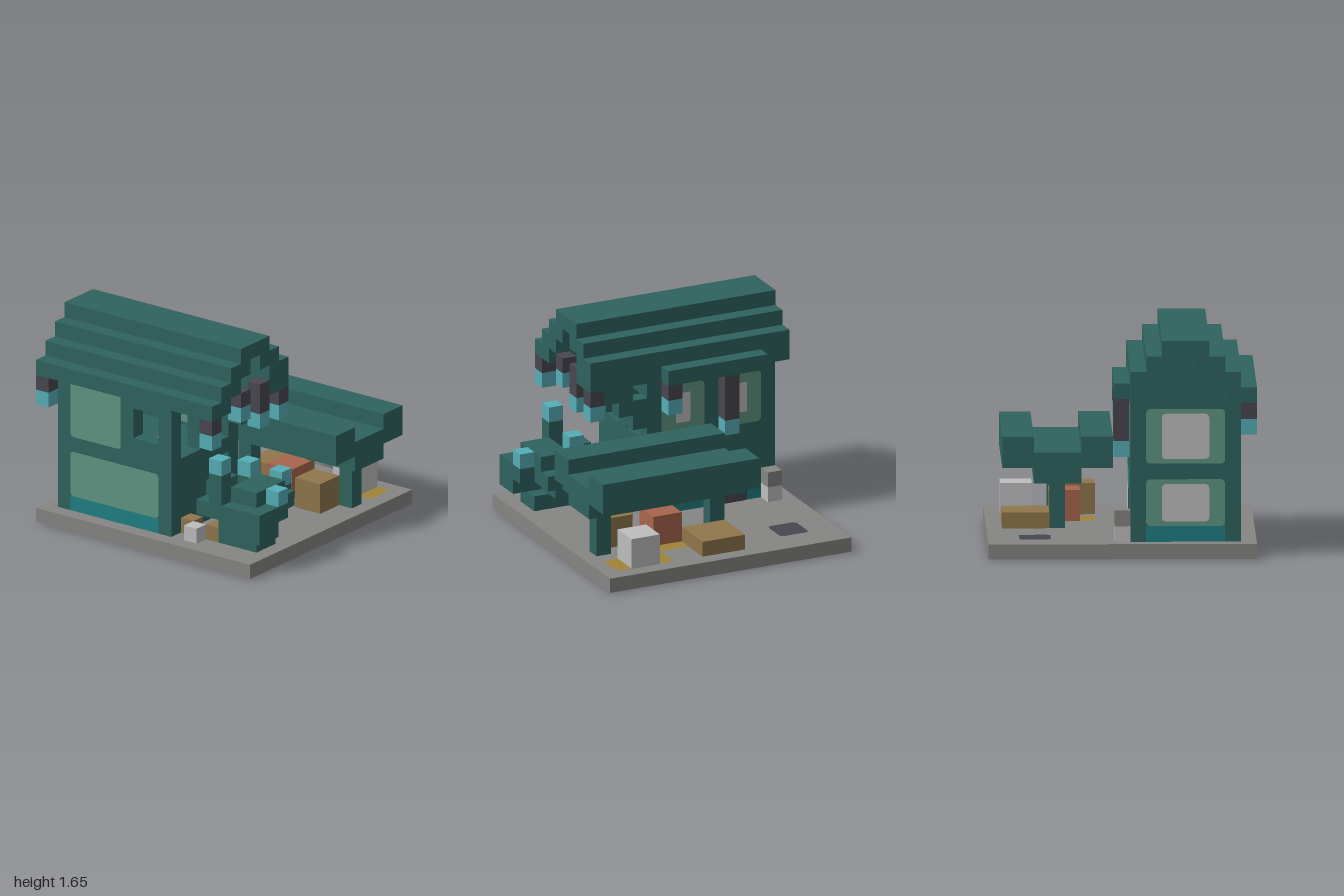
import * as THREE from 'three';

const U = 2 / 17; // one block
const mat = (name, color) => {
  const m = new THREE.MeshStandardMaterial({ color, side: THREE.DoubleSide });
  m.name = name;
  return m;
};

export function createModel() {
  const M = {
    wall: mat('deep green', 0x2e635e), glass: mat('pale green', 0x5f9583),
    teal: mat('teal', 0x1f7f83), cyan: mat('lamp cyan', 0x55aeb6),
    dark: mat('charcoal', 0x48464f), white: mat('pale grey', 0xbdbdbd),
    tan: mat('brown', 0x90764c), red: mat('brick red', 0xa8654d),
    stone: mat('stone', 0x858583), yellow: mat('ochre', 0xa08336),
  };
  const root = new THREE.Group();
  root.name = 'house';
  const section = (name) => {
    const g = new THREE.Group();
    g.name = name;
    root.add(g);
    return g;
  };
  // Box between block coordinates: x0,x1, y0,y1, z0,z1
  const box = (parent, name, m, x0, x1, y0, y1, z0, z1) => {
    const mesh = new THREE.Mesh(new THREE.BoxGeometry((x1 - x0) * U, (y1 - y0) * U, (z1 - z0) * U), M[m]);
    mesh.position.set((x0 + x1) / 2 * U - 1, (y0 + y1) / 2 * U, (z0 + z1) / 2 * U - 1);
    mesh.name = name;
    parent.add(mesh);
  };
  // Thin rounded panel across an axis; a runs along x (or z for axis x), b along y (or z for axis y)
  const plate = (parent, name, m, axis, p, a0, a1, b0, b1, r = 0.3) => {
    const s = new THREE.Shape();
    s.moveTo(a0 + r, b0);
    s.lineTo(a1 - r, b0); s.quadraticCurveTo(a1, b0, a1, b0 + r);
    s.lineTo(a1, b1 - r); s.quadraticCurveTo(a1, b1, a1 - r, b1);
    s.lineTo(a0 + r, b1); s.quadraticCurveTo(a0, b1, a0, b1 - r);
    s.lineTo(a0, b0 + r); s.quadraticCurveTo(a0, b0, a0 + r, b0);
    const g = new THREE.ShapeGeometry(s, 4);
    if (axis === 'x') g.rotateY(-Math.PI / 2);
    if (axis === 'y') g.rotateX(Math.PI / 2);
    g.scale(U, U, U);
    const mesh = new THREE.Mesh(g, M[m]);
    mesh.position.set(-1, 0, -1);
    mesh.position[axis] += p * U;
    mesh.name = name;
    parent.add(mesh);
  };

  // Ground slab, floor patches and underside markings
  const ground = section('ground');
  box(ground, 'slab', 'stone', 0, 17, 0.04, 1, 0, 17);
  for (const p of [1.03, 0]) {
    plate(ground, 'drainPatch', 'dark', 'y', p, 2, 4, 2, 4);
    plate(ground, 'ochrePatch', 'yellow', 'y', p, 12, 16, 1, 3);
    plate(ground, 'ochrePatch', 'yellow', 'y', p, 10, 12, 3, 7);
    plate(ground, 'houseFloor', 'dark', 'y', p, 2, 9, 10, 15);
  }
  plate(ground, 'crateMark', 'tan', 'y', 0, 7, 10, 1, 4);
  for (const [x, z] of [[12, 14], [10, 14], [12, 10]]) plate(ground, 'smallMark', 'tan', 'y', 0, x, x + 1, z, z + 1);
  plate(ground, 'sillMark', 'teal', 'y', 0, 1, 2, 10, 15);
  plate(ground, 'sillMark', 'tan', 'y', 0, 9, 10, 10, 15);
  for (const z of [9, 15]) {
    plate(ground, 'sillMark', 'tan', 'y', 0, 2, 9, z, z + 1);
    for (const x of [1, 9]) plate(ground, 'columnMark', 'wall', 'y', 0, x, x + 1, z, z + 1);
  }

  // Corner columns, storey floor and top ring
  const house = section('walls');
  for (const x of [1, 9]) for (const z of [9, 15]) box(house, 'cornerColumn', 'wall', x, x + 1, 1, 10, z, z + 1);
  box(house, 'storeyFloor', 'wall', 1, 10, 5, 6, 9, 16);
  // Front wall with an open upper window
  box(house, 'frontLowerWall', 'wall', 2, 9, 2, 5, 15, 16);
  box(house, 'frontSill', 'teal', 2, 9, 1, 2, 15, 16);
  box(house, 'frontUpperWall', 'wall', 2, 7, 6, 10, 15, 16);
  box(house, 'frontUpperSill', 'wall', 7, 9, 6, 7, 15, 16);
  box(house, 'frontLintel', 'wall', 7, 9, 9, 10, 15, 16);
  plate(house, 'frontLowerGlass', 'glass', 'z', 16.03, 2, 9, 2, 5);
  plate(house, 'frontUpperGlass', 'glass', 'z', 16.03, 2, 6, 6, 10);
  // Back wall with panes and door
  box(house, 'backLowerWall', 'wall', 2, 9, 2, 5, 9, 10);
  box(house, 'backSill', 'teal', 2, 9, 1, 2, 9, 10);
  box(house, 'backUpperWall', 'wall', 2, 9, 6, 10, 9, 10);
  for (const p of [8.97, 10.03]) {
    for (const [x0, x1] of [[2, 5], [6, 9]]) plate(house, 'backUpperGlass', 'glass', 'z', p, x0, x1, 6.2, 9.6);
    plate(house, 'backLowerGlass', 'glass', 'z', p, 5, 9, 2, 5);
  }
  for (const p of [8.94, 10.06]) {
    plate(house, 'backUpperCurtain', 'white', 'z', p, 7, 8, 7, 9, 0.1);
    plate(house, 'backUpperCurtain', 'white', 'z', p, 3, 4, 7, 9, 0.1);
    plate(house, 'backLowerCurtain', 'white', 'z', p, 6, 8, 2.2, 4, 0.2);
  }
  plate(house, 'door', 'dark', 'z', 8.95, 3, 5, 1, 4, 0.2);
  // Left-hand wall with two storeys of windows
  box(house, 'sideLowerWall', 'wall', 1, 2, 2, 5, 10, 15);
  box(house, 'sideSill', 'teal', 1, 2, 1, 2, 10, 15);
  box(house, 'sideUpperWall', 'wall', 1, 2, 6, 10, 10, 15);
  for (const [y0, y1] of [[2, 5], [6, 9.5]]) {
    for (const p of [0.97, 2.03]) plate(house, 'sideGlass', 'glass', 'x', p, 10, 15, y0, y1);
    plate(house, 'sideCurtain', 'white', 'x', 0.94, 11, 14, y0 + 0.3, y1 - 0.3);
    plate(house, 'sideCurtain', 'white', 'x', 2.06, 10, 11, y0 + 0.2, y1 - 0.6, 0.1);
  }
  // Open wall with a centre post
  box(house, 'centrePost', 'wall', 9, 10, 1, 10, 12, 13);
  box(house, 'openWallBeam', 'wall', 9, 10, 9, 10, 10, 15);
  box(house, 'openWallPanel', 'wall', 9, 10, 1, 5, 13, 15);
  box(house, 'openWallSill', 'wall', 9, 10, 1, 2, 10, 12);
  box(house, 'indoorBox', 'tan', 8, 9, 6, 7, 14, 15);

  // Stepped gable roof as a shell, with gable ends
  const roof = section('roof');
  const steps = [[10, 9, 11], [10, 15, 17], [11, 9, 11], [11, 14, 16], [12, 10, 12], [12, 13, 15], [13, 11, 14]];
  for (const [y, z0, z1] of steps) box(roof, 'roofStep', 'wall', 0, 14, y, y + 1, z0, z1);
  for (const x of [1, 9]) {
    box(roof, 'gable', 'wall', x, x + 1, 10, 12, 11, 14);
    box(roof, 'gable', 'wall', x, x + 1, 10, 11, 14, 15);
    box(roof, 'gable', 'wall', x, x + 1, 12, 13, 12, 13);
  }
  box(roof, 'backAwning', 'wall', 2, 9, 10, 11, 8, 9);
  // Stepped bracket under the overhang, with a small gap
  box(roof, 'bracket', 'wall', 11, 13, 9, 10, 9, 10);
  box(roof, 'bracket', 'wall', 10, 12, 8, 9, 9, 10);
  box(roof, 'bracket', 'wall', 10, 11, 7, 8, 9, 10);

  // Hanging lanterns: x, z, bottom of cap, top of cap
  const lanterns = section('lanterns');
  const hung = [[0, 16, 9, 10], [13, 16, 9, 10], [13, 9, 9, 10], [13, 11, 9, 11], [13, 13, 10, 11],
    [10, 13, 10, 11], [8, 8, 9, 10], [4, 8, 7, 10]];
  for (const [x, z, y0, y1] of hung) {
    box(lanterns, 'lanternCap', 'dark', x, x + 1, y0, y1, z, z + 1);
    box(lanterns, 'lanternLight', 'cyan', x, x + 1, y0 - 1, y0, z, z + 1);
  }

  // Branching plant with glowing tips
  const plant = section('plant');
  const branches = [[13, 16, 1, 2, 13, 15], [13, 15, 2, 3, 12, 15], [15, 17, 2, 3, 14, 16], [14, 17, 3, 4, 15, 16],
    [16, 17, 3, 4, 13, 15], [12, 14, 3, 4, 14, 16], [13, 14, 4, 6, 15, 16], [14, 16, 3, 5, 12, 15],
    [12, 13, 4, 5, 13, 15], [13, 14, 3, 5, 12, 13], [14, 16, 3, 4, 11, 12], [14, 15, 3, 4, 10, 11]];
  for (const b of branches) box(plant, 'branch', 'wall', ...b);
  for (const [x, y, z] of [[13, 6, 15], [13, 5, 12], [16, 4, 13], [14, 4, 10]])
    box(plant, 'glowingTip', 'cyan', x, x + 1, y, y + 1, z, z + 1);

  // Rear shelter with a valley roof on two posts
  const shelter = section('shelter');
  box(shelter, 'shelterRoofFront', 'wall', 6, 17, 5, 7, 6, 8);
  box(shelter, 'shelterRoofValley', 'wall', 6, 17, 4, 6, 3, 6);
  box(shelter, 'shelterRoofBack', 'wall', 6, 17, 5, 7, 1, 3);
  for (const x of [7, 15]) box(shelter, 'shelterPost', 'wall', x, x + 1, 1, 4, 4, 5);
  for (const x of [7, 9.7, 12.3, 15]) plate(shelter, 'ceilingLight', 'white', 'y', 4.97, x, x + 1, 1.5, 2.5, 0.4);

  // Crates and bollard
  const goods = section('goods');
  box(goods, 'paleCrate', 'white', 13, 15, 1, 3, 1, 3);
  box(goods, 'lowCrate', 'tan', 7, 10, 1, 2, 1, 4);
  box(goods, 'redCrate', 'red', 10, 12, 1, 3, 4, 6);
  box(goods, 'tallCrate', 'tan', 13, 15, 1, 3, 5, 7);
  box(goods, 'smallPaleBox', 'white', 11, 12, 1, 2, 15, 16);
  box(goods, 'smallPaleBox', 'white', 11, 12, 1, 2, 9, 10);
  for (const [x, z] of [[10, 14], [12, 14], [12, 10]]) box(goods, 'smallBrownBox', 'tan', x, x + 1, 1, 2, z, z + 1);
  box(goods, 'bollardBase', 'white', 1, 2, 1, 2, 8, 9);
  box(goods, 'bollardTop', 'stone', 1, 2, 2, 3, 8, 9);
  return root;
}
